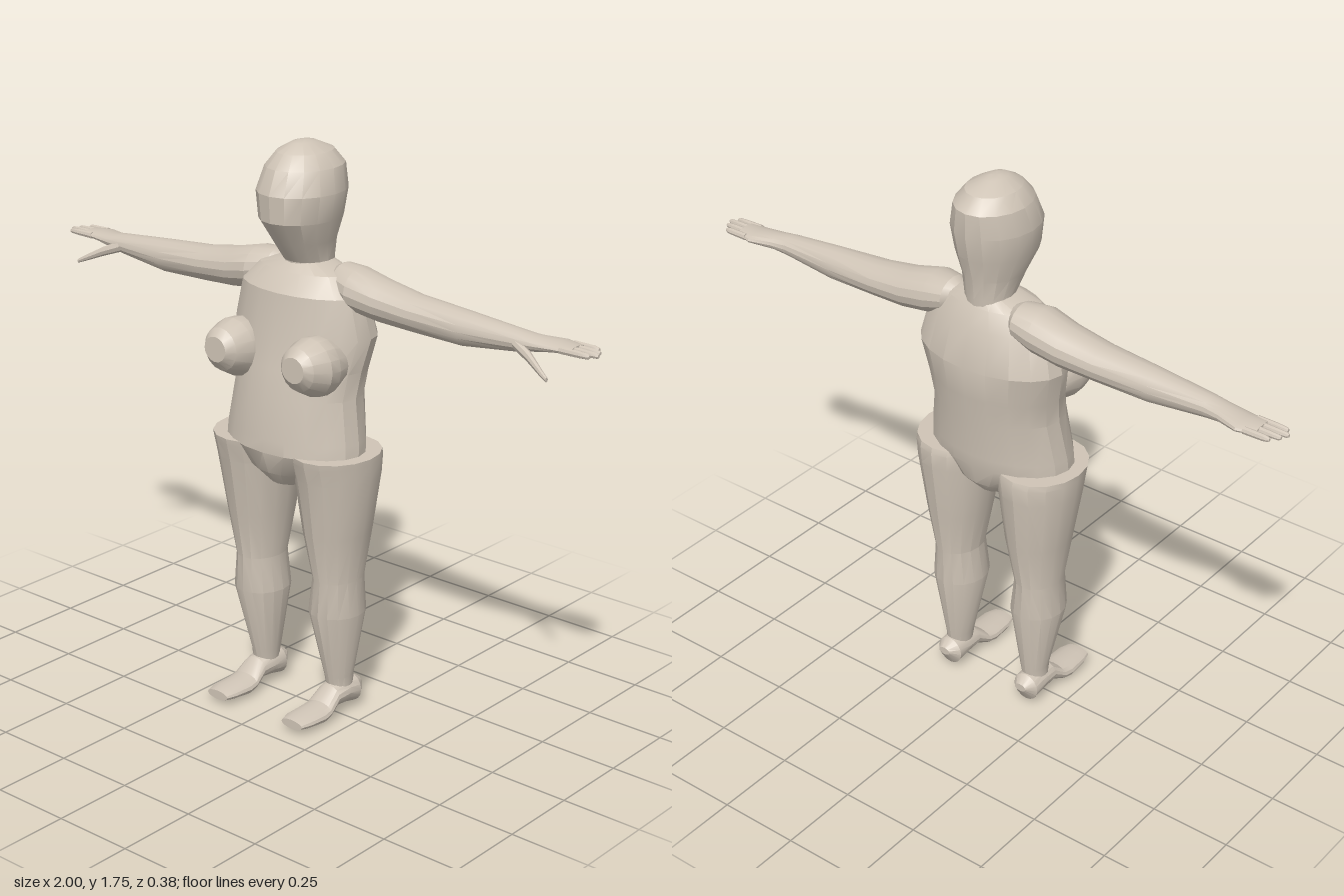
import * as THREE from 'three';
import { toCreasedNormals } from 'three/addons/utils/BufferGeometryUtils.js';

const skin = new THREE.MeshStandardMaterial({ color: 0xcfc4b6 });
skin.name = 'skin';

// Axis index of the loft direction and of the two cross-section directions.
const AXES = { x: [0, 1, 2], y: [1, 2, 0], z: [2, 0, 1] };

// Joins elliptical rings along an axis. Each row is [t, uMin, uMax, vMin, vMax],
// with (u, v) = (y, z) along x, (z, x) along y and (x, y) along z. side -1 mirrors in x.
function loft(name, axis, rows, segments = 16, side = 1) {
  const [at, au, av] = AXES[axis];
  const positions = [];
  const index = [];
  const put = (t, u, v) => {
    const p = [0, 0, 0];
    p[at] = t; p[au] = u; p[av] = v;
    positions.push(p[0] * side, p[1], p[2]);
  };
  const face = (a, b, c) => (side > 0 ? index.push(a, b, c) : index.push(a, c, b));
  for (const [t, u0, u1, v0, v1] of rows) {
    for (let j = 0; j < segments; j++) {
      const a = (j / segments) * Math.PI * 2;
      put(t, (u0 + u1) / 2 + Math.cos(a) * (u1 - u0) / 2, (v0 + v1) / 2 + Math.sin(a) * (v1 - v0) / 2);
    }
  }
  const last = (rows.length - 1) * segments;
  for (const [t, u0, u1, v0, v1] of [rows[0], rows[rows.length - 1]]) put(t, (u0 + u1) / 2, (v0 + v1) / 2);
  const start = last + segments;
  for (let j = 0; j < segments; j++) {
    const k = (j + 1) % segments;
    for (let r = 0; r < last; r += segments) {
      face(r + j, r + k, r + segments + k);
      face(r + j, r + segments + k, r + segments + j);
    }
    face(start, k, j);
    face(start + 1, last + j, last + k);
  }
  const geometry = new THREE.BufferGeometry();
  geometry.setAttribute('position', new THREE.Float32BufferAttribute(positions, 3));
  geometry.setIndex(index);
  const mesh = new THREE.Mesh(toCreasedNormals(geometry, 0.42), skin);
  mesh.name = name;
  return mesh;
}

export function createModel() {
  const model = new THREE.Group();
  model.name = 'figure';

  // Head and neck
  model.add(loft('head', 'y', [
    [1.34, -0.13, 0.02, -0.075, 0.075],
    [1.40, -0.135, 0.02, -0.073, 0.073],
    [1.46, -0.14, 0.065, -0.087, 0.087],
    [1.53, -0.158, 0.113, -0.113, 0.113],
    [1.61, -0.172, 0.118, -0.124, 0.124],
    [1.68, -0.17, 0.09, -0.106, 0.106],
    [1.72, -0.135, 0.055, -0.075, 0.075],
    [1.745, -0.075, 0.01, -0.03, 0.03],
    [1.75, -0.05, -0.015, -0.012, 0.012],
  ]));

  // Torso from crotch to collar
  model.add(loft('torso', 'y', [
    [0.735, -0.09, 0.085, -0.07, 0.07],
    [0.78, -0.13, 0.125, -0.14, 0.14],
    [0.85, -0.15, 0.15, -0.24, 0.24],
    [0.89, -0.153, 0.147, -0.238, 0.238],
    [1.02, -0.167, 0.137, -0.215, 0.215],
    [1.10, -0.178, 0.12, -0.223, 0.223],
    [1.20, -0.19, 0.10, -0.245, 0.245],
    [1.32, -0.16, 0.085, -0.215, 0.215],
    [1.375, -0.135, 0.045, -0.16, 0.16],
    [1.40, -0.12, 0.015, -0.075, 0.075],
  ], 20));

  for (const side of [1, -1]) {
    const label = side > 0 ? 'left' : 'right';
    const add = (part, axis, rows, segments) => model.add(loft(label + part, axis, rows, segments, side));

    // Chest cones, tilted slightly upwards
    add('Breast', 'z', [
      [0.02, 0.075, 0.215, 1.06, 1.2],
      [0.07, 0.065, 0.23, 1.04, 1.22],
      [0.11, 0.064, 0.232, 1.045, 1.222],
      [0.165, 0.085, 0.21, 1.075, 1.205],
      [0.188, 0.108, 0.19, 1.105, 1.182],
    ]);

    // Leg with an open-looking flat rim at the hip
    add('Leg', 'y', [
      [0.07, -0.07, 0.01, 0.112, 0.188],
      [0.12, -0.08, 0.02, 0.107, 0.187],
      [0.34, -0.109, 0.075, 0.066, 0.232],
      [0.45, -0.105, 0.07, 0.082, 0.222],
      [0.60, -0.13, 0.098, 0.053, 0.246],
      [0.78, -0.15, 0.125, 0.028, 0.275],
      [0.835, -0.155, 0.14, 0.021, 0.279],
      [0.853, -0.15, 0.143, 0.021, 0.28],
    ]);

    // Foot, from heel to toes
    add('Foot', 'z', [
      [-0.11, 0.13, 0.17, 0.06, 0.085],
      [-0.08, 0.106, 0.194, 0.013, 0.105],
      [-0.03, 0.104, 0.196, 0.025, 0.11],
      [0.02, 0.107, 0.193, 0.03, 0.098],
      [0.065, 0.1, 0.2, 0.01, 0.06],
      [0.095, 0.097, 0.203, 0.004, 0.056],
      [0.16, 0.1, 0.2, 0.012, 0.053],
      [0.194, 0.11, 0.19, 0.018, 0.047],
    ]);

    // Arm with a rounded shoulder, ending in the palm
    add('Arm', 'x', [
      [0.09, 1.325, 1.385, -0.1, -0.04],
      [0.125, 1.295, 1.403, -0.135, -0.005],
      [0.19, 1.27, 1.402, -0.142, 0.018],
      [0.28, 1.257, 1.38, -0.138, 0.008],
      [0.40, 1.252, 1.36, -0.127, 0],
      [0.57, 1.247, 1.348, -0.115, -0.01],
      [0.75, 1.268, 1.332, -0.103, -0.026],
      [0.80, 1.278, 1.325, -0.11, -0.03],
      [0.87, 1.288, 1.32, -0.134, -0.038],
      [0.925, 1.294, 1.316, -0.12, -0.042],
    ]);

    // Four fingers, then the thumb pointing forwards and down
    [[0.97, -0.119], [0.99, -0.094], [1.0, -0.071], [0.985, -0.05]].forEach(([tip, z], i) => {
      const ring = (x, r) => [x, 1.305 - r, 1.305 + r, z - r, z + r];
      add('Finger' + (i + 1), 'x', [ring(0.89, 0.011), ring(0.95, 0.01), ring(tip - 0.006, 0.008), ring(tip, 0.005)], 8);
    });
    add('Thumb', 'x', [
      [0.75, 1.28, 1.315, -0.06, -0.025],
      [0.81, 1.26, 1.29, -0.036, -0.008],
      [0.87, 1.237, 1.256, -0.005, 0.012],
      [0.892, 1.229, 1.243, 0.005, 0.017],
    ], 8);
  }
  return model;
}
